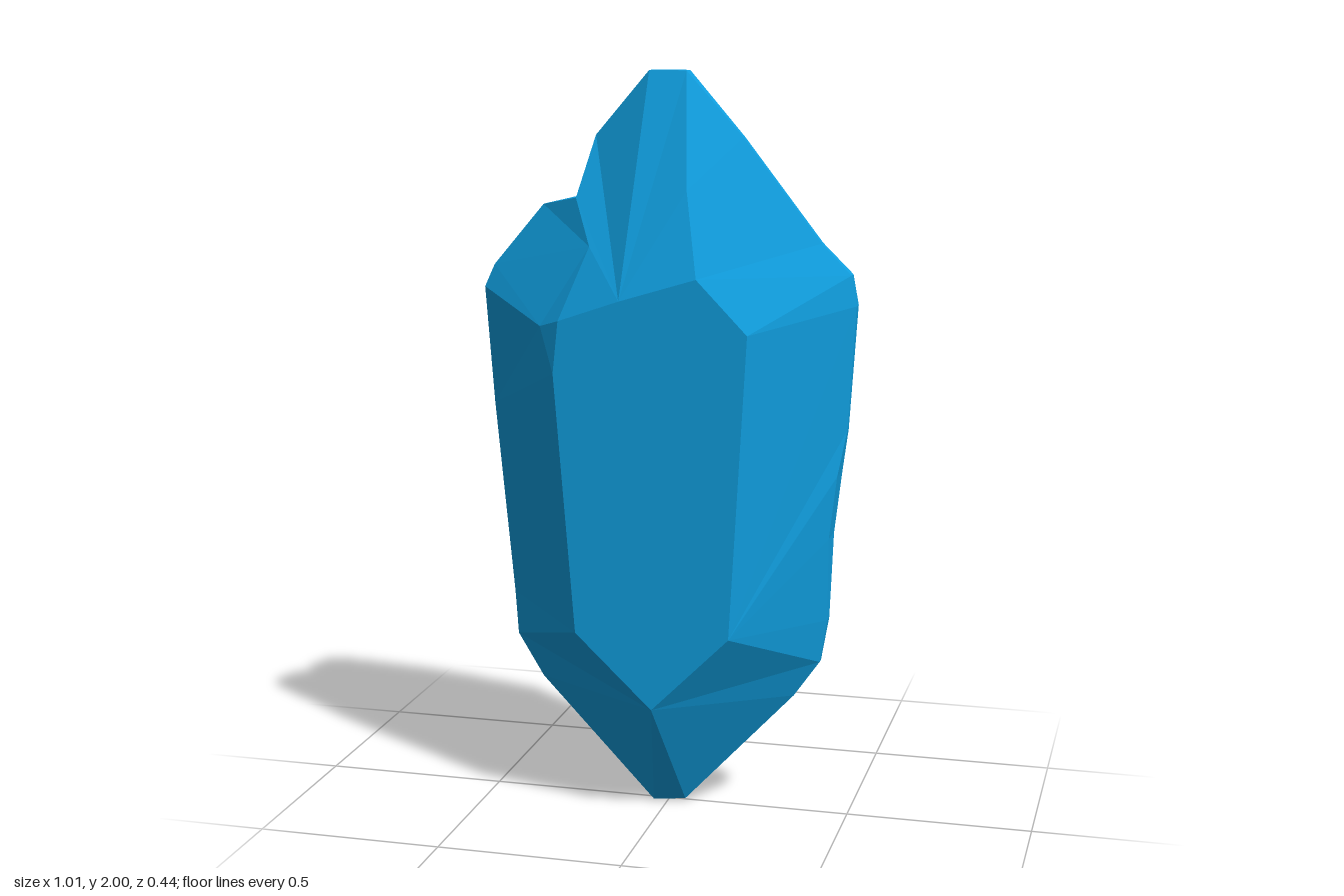
import * as THREE from 'three';

// Rim outline, counter-clockwise from the bottom: x, y, half thickness
const rim = [
  [-0.04, 0, 0.02], [0.05, 0.01, 0.02], [0.35, 0.33, 0.01], [0.42, 0.43, 0.01],
  [0.44, 0.55, 0.015], [0.445, 0.78, 0.04], [0.465, 0.95, 0.04], [0.485, 1.07, 0.01],
  [0.505, 1.4, 0.015], [0.49, 1.48, 0.015], [0.41, 1.56, 0.01], [0.2, 1.83, 0.01],
  [0.05, 2, 0.02], [-0.05, 2, 0.02], [-0.2, 1.83, 0.003],
  [-0.235, 1.67, 0.075], // floor of the notch
  [-0.345, 1.645, 0.01], [-0.485, 1.48, 0.01], [-0.51, 1.42, 0.02],
  [-0.49, 1.1, 0.01], [-0.44, 0.57, 0.01], [-0.43, 0.45, 0.015], [-0.36, 0.33, 0.01],
];

// Corners of the raised face and its cap
const P = {
  A: [0, 0.32, 0.2], B: [0.21, 0.53, 0.2], C: [0.255, 1.34, 0.2], D: [0.12, 1.48, 0.2],
  E: [-0.08, 1.42, 0.2], F: [-0.08, 1.42, 0.22], // lip of the cap over the face
  G: [-0.31, 1.34, 0.165], N: [-0.25, 1.36, 0.2], H: [-0.265, 1.22, 0.2],
  I: [-0.21, 0.52, 0.2], J: [0.08, 1.7, 0.137], K: [-0.18, 1.55, 0.142],
};
rim.forEach((p, i) => { P[i] = p; });

// Facets of one side, grouped by part; each is fanned from its first corner
const facets = {
  mainFace: ['A B C D E N H I'],
  lowerPoint: ['A 0 1 2 3 B', 'A I 21 22 0'],
  sideFacets: ['B 3 4 5 6 7 8 C', 'G 18 19 H', 'G H N', 'H 19 20 I', 'I 20 21'],
  upperPoint: ['C 8 9', 'D C 9 10', 'D 10 11 J', 'J 11 12', 'F D J', 'F J 12 13',
    'F 13 14 15', 'F 15 K', 'E D F', 'N E F'],
  brokenShoulder: ['K 15 16 17', 'K 17 G', 'N F K', 'N K G', 'G 17 18'],
};

// Fans polygons into flat triangles
function facetGeometry(polygons) {
  const pos = [];
  for (const poly of polygons) {
    for (let i = 1; i < poly.length - 1; i++) pos.push(...poly[0], ...poly[i], ...poly[i + 1]);
  }
  const geo = new THREE.BufferGeometry();
  geo.setAttribute('position', new THREE.Float32BufferAttribute(pos, 3));
  geo.computeVertexNormals();
  return geo;
}

const flip = ([x, y, z]) => [x, y, -z];

export function createModel() {
  const model = new THREE.Group();
  model.name = 'crystal';
  const material = new THREE.MeshStandardMaterial({ color: 0x109fe0, flatShading: true });
  const add = (name, polygons) => {
    const mesh = new THREE.Mesh(facetGeometry(polygons), material);
    mesh.name = name;
    model.add(mesh);
  };

  // Front facets and their mirror on the back
  for (const [name, list] of Object.entries(facets)) {
    const front = list.map((s) => s.split(' ').map((k) => P[k]));
    add(name + 'Front', front);
    add(name + 'Back', front.map((poly) => poly.map(flip).reverse()));
  }

  // Narrow band joining both sides, widening into the notch and the edge chip
  add('rimBand', rim.map((p, i) => {
    const q = rim[(i + 1) % rim.length];
    return [p, flip(p), flip(q), q];
  }));
  return model;
}
